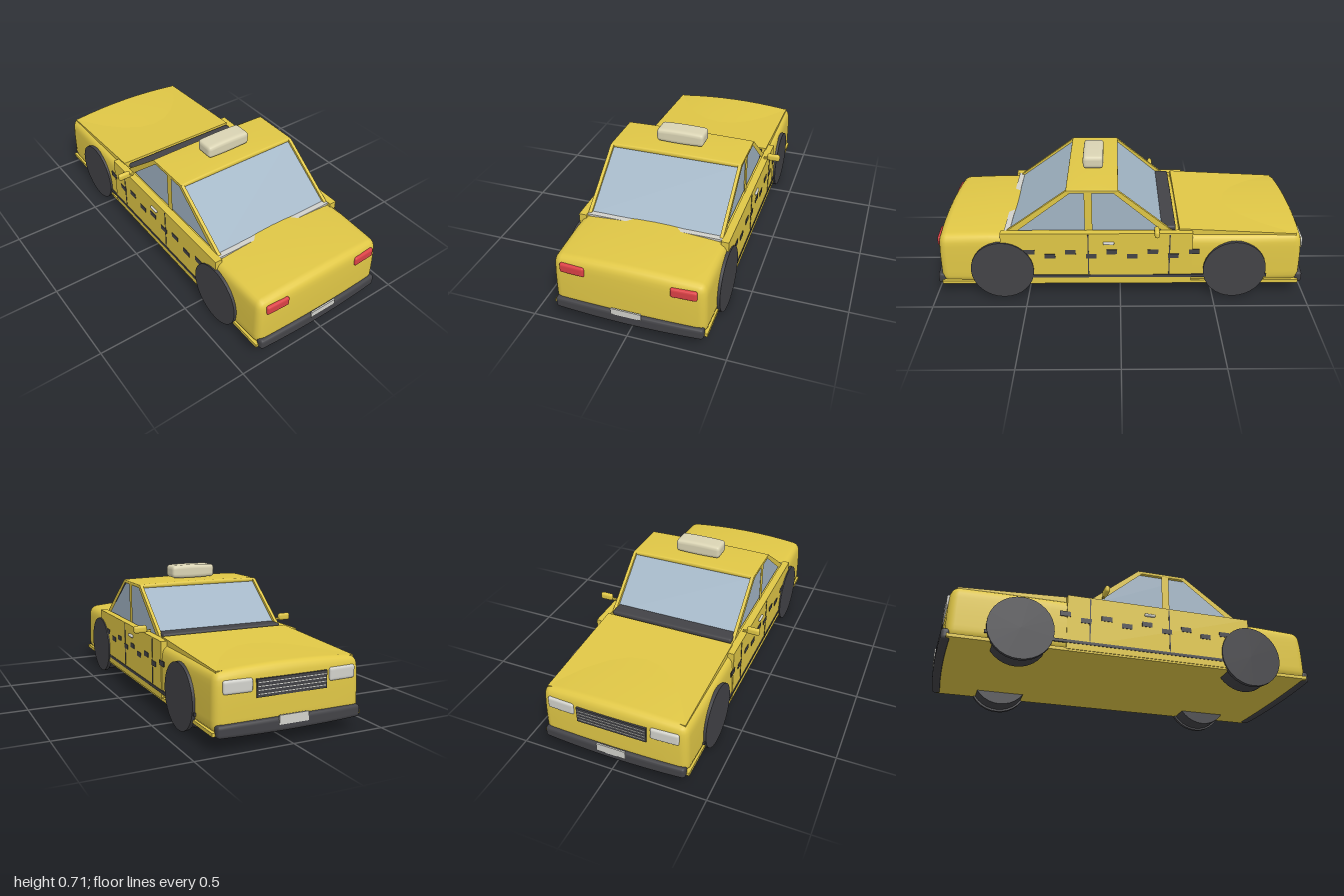
import * as THREE from 'three';
import { mergeVertices } from 'three/addons/utils/BufferGeometryUtils.js';

const paint = (name, color, side = THREE.FrontSide) => {
  const m = new THREE.MeshStandardMaterial({ color, side });
  m.name = name;
  return m;
};

// Rounded box whose vertices can then be moved by a rule
function softBox(w, h, d, r, rule, n = 12) {
  let g = new THREE.BoxGeometry(2, 2, 2, n, n, n);
  g.deleteAttribute('uv');
  g.deleteAttribute('normal');
  g = mergeVertices(g);
  const pos = g.attributes.position, v = new THREE.Vector3(), inner = new THREE.Vector3();
  const flat = n / 2 - 2;
  const spread = (t, half) => {
    const u = Math.abs(t) * n / 2;
    const q = u > flat ? half - r + r * (u - flat) / 2 : (half - r) * u / flat;
    return Math.sign(t) * q;
  };
  const lim = new THREE.Vector3(w / 2 - r, h / 2 - r, d / 2 - r);
  const neg = lim.clone().negate();
  for (let i = 0; i < pos.count; i++) {
    v.fromBufferAttribute(pos, i);
    v.set(spread(v.x, w / 2), spread(v.y, h / 2), spread(v.z, d / 2));
    inner.copy(v).clamp(neg, lim);
    v.sub(inner).setLength(r).add(inner);
    if (rule) rule(v);
    pos.setXYZ(i, v.x, v.y, v.z);
  }
  g.computeVertexNormals();
  return g;
}

// Side outline given as [z, y], extruded across x from x0 to x1
function sidePanel(points, holes, x0, x1) {
  const toShape = (C, list) => new C(list.map(([z, y]) => new THREE.Vector2(-z, y)));
  const shape = toShape(THREE.Shape, points);
  shape.holes = holes.map((h) => toShape(THREE.Path, h));
  const g = new THREE.ExtrudeGeometry(shape, { depth: x1 - x0, bevelEnabled: false });
  g.translate(0, 0, x0);
  g.rotateY(Math.PI / 2);
  return g;
}

export function createModel() {
  const car = new THREE.Group();
  car.name = 'taxi';
  const yellow = paint('yellow paint', 0xe0c746);
  const dark = paint('dark rubber', 0x434347);
  const glass = paint('glass', 0xa2b5c5);
  const red = paint('tail light red', 0xdb4146);
  const silver = paint('silver', 0xd2d2cc);
  const cream = paint('sign cream', 0xdad4b4);

  const add = (name, geo, mat, x = 0, y = 0, z = 0) => {
    const m = new THREE.Mesh(geo, mat);
    m.name = name;
    m.position.set(x, y, z);
    car.add(m);
    return m;
  };
  const box = (name, w, h, d, mat, x, y, z) => add(name, new THREE.BoxGeometry(w, h, d), mat, x, y, z);

  // Lower body: crowned top, bowed ends, slightly tapered sides
  add('body', softBox(0.79, 0.28, 1.93, 0.04, (v) => {
    const fx = v.x / 0.395, fy = v.y / 0.28 + 0.5, fz = v.z / 0.965;
    const hump = v.z > 0.5 ? 0.008 * Math.sin(Math.PI * Math.min(1, (v.z - 0.5) / 0.45)) : 0;
    v.y += fy * (0.02 * (1 - fx * fx) + hump);
    v.z += Math.sign(fz) * Math.abs(fz) ** 8 * (0.012 * (1 - fx * fx) - 0.012 * fy ** 4);
    v.x *= 1 - 0.02 * fy ** 4 - 0.02 * fz ** 8;
  }), yellow, 0, 0.225, 0);
  box('floor', 0.79, 0.018, 1.92, yellow, 0, 0.089, 0);

  // Hood and cowl
  const hood = box('hood', 0.73, 0.04, 0.62, yellow, 0, 0.363, -0.62);
  hood.rotation.x = -0.052;
  add('cowl', softBox(0.7, 0.03, 0.09, 0.012), dark, 0, 0.392, -0.248);

  // Cabin
  add('windows', sidePanel([[0.59, 0.38], [0.272, 0.61], [0.022, 0.61], [-0.25, 0.38]], [], -0.348, 0.348), glass);
  const frame = [[0.615, 0.375], [0.28, 0.62], [0.015, 0.62], [-0.285, 0.375]];
  const openings = [
    [[0.54, 0.39], [0.262, 0.605], [0.188, 0.605], [0.188, 0.39]],
    [[0.147, 0.39], [0.147, 0.605], [0.035, 0.605], [-0.215, 0.39]],
  ];
  add('leftWindowFrame', sidePanel(frame, openings, 0.343, 0.361), yellow);
  add('rightWindowFrame', sidePanel(frame, openings, -0.361, -0.343), yellow);
  add('roof', softBox(0.724, 0.022, 0.27, 0.01, (v) => {
    const k = (1 - (v.x / 0.362) ** 2) * (1 - (v.z / 0.135) ** 2 * 0.5);
    if (v.y > 0) v.y += 0.009 * k;
  }), yellow, 0, 0.613, 0.147);
  box('rearWindowTrim', 0.74, 0.012, 0.03, silver, 0, 0.381, 0.598);
  add('roofSign', softBox(0.26, 0.068, 0.11, 0.018, (v) => {
    const k = 1 - (v.x / 0.13) ** 2;
    v.y += Math.sign(v.y) * 0.004 * k;
  }), cream, 0, 0.672, 0.146);

  for (const s of [1, -1]) {
    const side = s > 0 ? 'left' : 'right';
    // Doors with seams, trim strip, handle and checker marks
    box(side + 'Doors', 0.04, 0.3, 1.01, yellow, s * 0.379, 0.24, 0.125);
    box(side + 'TrimStrip', 0.02, 0.016, 1.41, dark, s * 0.3915, 0.13, -0.08);
    for (const z of [0.17, -0.26]) box(side + 'DoorSeam', 0.004, 0.24, 0.006, dark, s * 0.399, 0.262, z);
    add(side + 'Handle', softBox(0.016, 0.016, 0.06, 0.007), silver, s * 0.402, 0.334, 0.062);
    for (let i = 0; i < 9; i++) {
      box(side + 'Check', 0.005, 0.027, 0.056, dark, s * 0.399, i % 2 ? 0.254 : 0.28, 0.482 - i * 0.109);
    }

    // Mirror
    add(side + 'Mirror', softBox(0.072, 0.04, 0.026, 0.012), yellow, s * 0.437, 0.42, -0.188);
    box(side + 'MirrorArm', 0.03, 0.01, 0.012, yellow, s * 0.395, 0.41, -0.188);

    // Lights
    const tail = add(side + 'TailLight', softBox(0.13, 0.052, 0.026, 0.011), red, s * 0.28, 0.315, 0.963);
    tail.rotation.y = s * 0.04;
    const head = add(side + 'Headlight', softBox(0.145, 0.064, 0.026, 0.011), silver, s * 0.275, 0.298, -0.964);
    head.rotation.y = -s * 0.04;

    // Wheels: narrower tyre behind a larger outer disc
    for (const [end, z] of [['Rear', 0.63], ['Front', -0.61]]) {
      const tyre = add(side + end + 'Tyre', new THREE.CylinderGeometry(0.158, 0.158, 0.11, 32), dark, s * 0.337, 0.17, z);
      const disc = add(side + end + 'WheelDisc', new THREE.CylinderGeometry(0.168, 0.168, 0.02, 32), dark, s * 0.396, 0.17, z);
      tyre.rotation.z = disc.rotation.z = Math.PI / 2;
    }
  }

  // Grille
  box('grille', 0.37, 0.085, 0.02, dark, 0, 0.28, -0.97);
  for (let i = 0; i < 4; i++) box('grilleBar', 0.36, 0.004, 0.006, silver, 0, 0.253 + i * 0.018, -0.979);

  // Bumpers and plates
  for (const s of [1, -1]) {
    const end = s > 0 ? 'rear' : 'front';
    add(end + 'Bumper', softBox(0.76, 0.06, 0.045, 0.015, (v) => {
      const k = 1 - (v.x / 0.38) ** 2;
      v.z += s * 0.012 * k;
      v.y += Math.sign(v.y) * 0.004 * k;
    }), dark, 0, 0.102, s * 0.962);
    box(end + 'Plate', 0.155, s > 0 ? 0.034 : 0.045, 0.008, silver, 0, s > 0 ? 0.141 : 0.125, s * 0.996);
  }
  return car;
}
